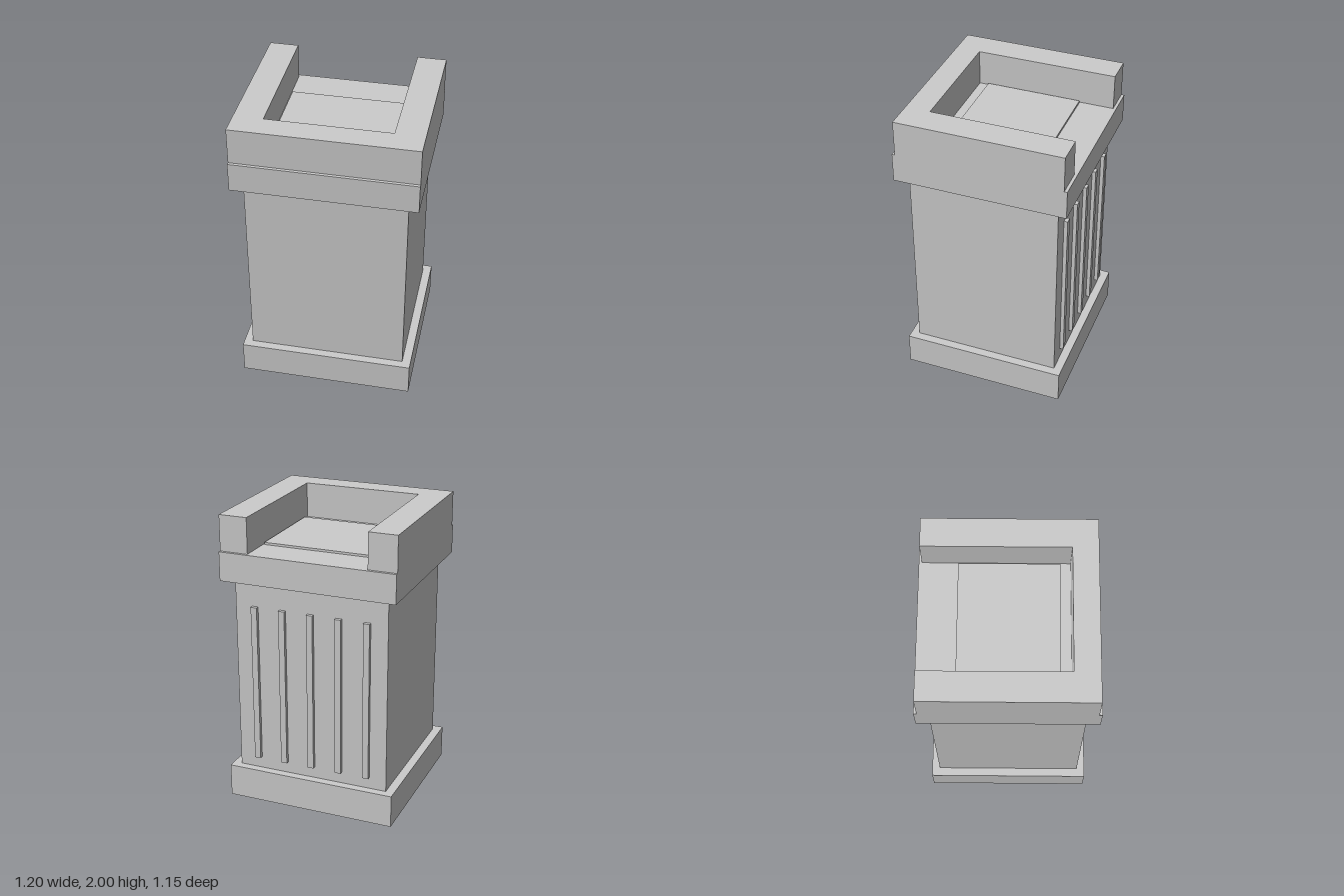
import * as THREE from 'three';

const material = new THREE.MeshStandardMaterial({ color: 0xcccccc, flatShading: true });

// Box from its size in x and z and its bottom and top heights.
function block(name, width, depth, bottom, top, x = 0, z = 0) {
  const mesh = new THREE.Mesh(new THREE.BoxGeometry(width, top - bottom, depth), material);
  mesh.name = name;
  mesh.position.set(x, (bottom + top) / 2, z);
  return mesh;
}

// U-shaped rim, open towards the back.
function createRim() {
  const outerX = 0.6, outerZ = 0.555, innerX = 0.407, innerZ = 0.39;
  // Shape y becomes -z once the extrusion is stood upright.
  const shape = new THREE.Shape([
    [-outerX, -outerZ], [outerX, -outerZ], [outerX, outerZ], [innerX, outerZ],
    [innerX, -innerZ], [-innerX, -innerZ], [-innerX, outerZ], [-outerX, outerZ],
  ].map(([x, y]) => new THREE.Vector2(x, y)));
  const geometry = new THREE.ExtrudeGeometry(shape, { depth: 0.24, bevelEnabled: false });
  geometry.rotateX(-Math.PI / 2);
  const rim = new THREE.Mesh(geometry, material);
  rim.name = 'rim';
  rim.position.y = 1.76;
  return rim;
}

export function createModel() {
  const model = new THREE.Group();
  model.name = 'pedestal';

  model.add(
    block('base', 1.17, 1.11, 0, 0.225),
    block('column', 1.055, 1.0, 0.225, 1.565),
    block('collar', 1.2, 1.15, 1.565, 1.76),
    block('topPanel', 0.796, 0.648, 1.76, 1.775),
    createRim(),
  );

  // Upright ribs on the back of the column
  const ribs = new THREE.Group();
  ribs.name = 'backRibs';
  for (let i = -2; i <= 2; i++) {
    ribs.add(block('rib', 0.042, 0.025, 0.305, 1.393, i * 0.195, -0.5125));
  }
  model.add(ribs);

  return model;
}
